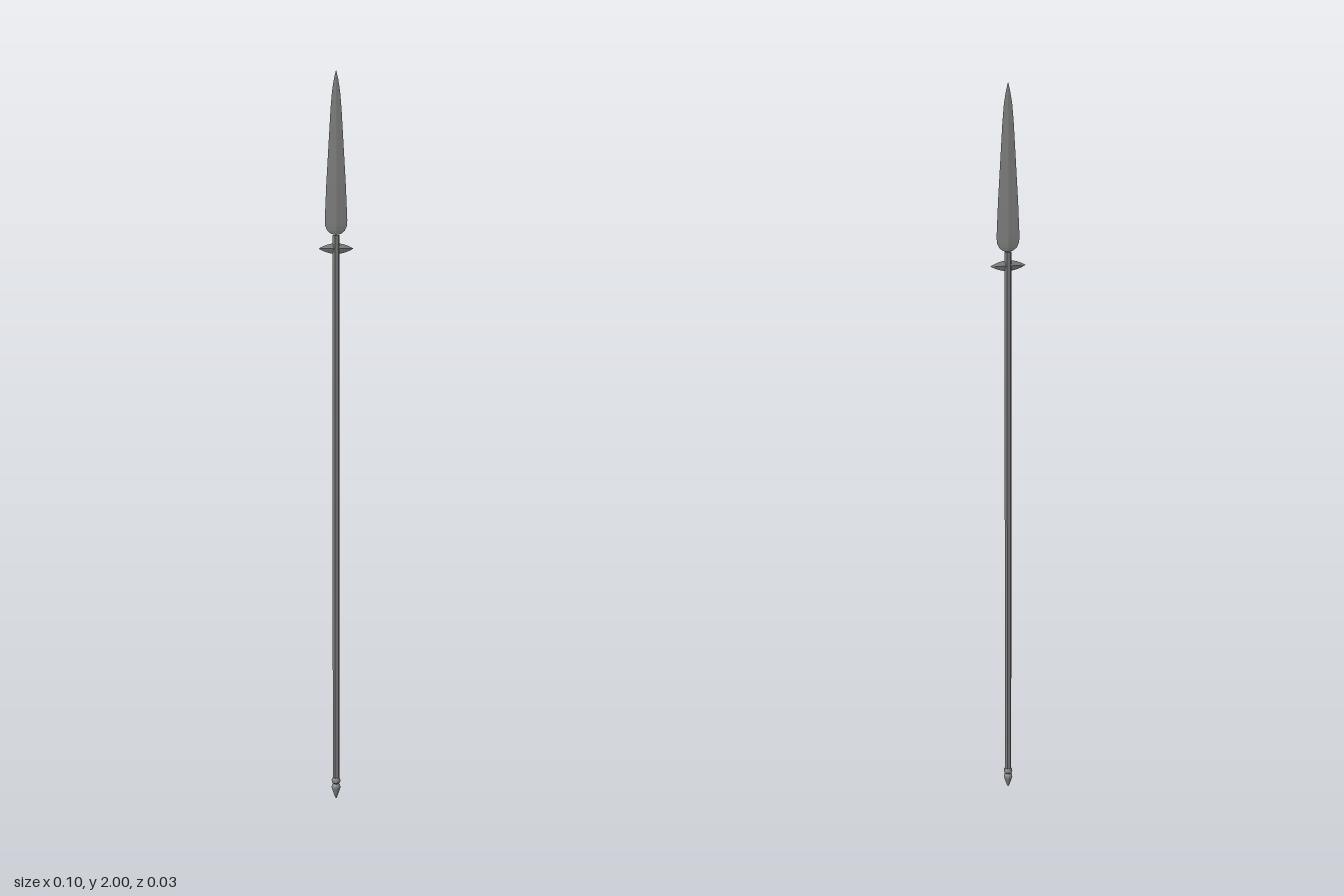
import * as THREE from 'three';

const steel = new THREE.MeshStandardMaterial({ color: 0x868686, flatShading: true });
const pole = new THREE.MeshStandardMaterial({ color: 0x7c7c7c, flatShading: true });

// Turned part from [radius, y] pairs, listed from bottom to top
function turned(name, profile, sides) {
  const points = profile.map(([r, y]) => new THREE.Vector2(r, y));
  const mesh = new THREE.Mesh(new THREE.LatheGeometry(points, sides), steel);
  mesh.name = name;
  return mesh;
}

export function createModel() {
  const spear = new THREE.Group();
  spear.name = 'spear';

  // Long six-sided pole with a flat face to the front, running up into the blade
  const shaft = new THREE.Mesh(new THREE.CylinderGeometry(0.0095, 0.0095, 1.52, 6), pole);
  shaft.name = 'shaft';
  shaft.rotation.y = Math.PI / 6;
  shaft.position.y = 0.05 + 1.52 / 2;
  spear.add(shaft);

  // Pointed foot with a bulb and a collar
  spear.add(turned('buttCap', [
    [0, 0], [0.004, 0.008], [0.0095, 0.024], [0.0125, 0.034], [0.0115, 0.040],
    [0.008, 0.045], [0.0115, 0.049], [0.0125, 0.054], [0.0115, 0.059], [0.008, 0.063],
  ], 16));

  // Leaf blade: four-sided diamond section, flattened front to back
  const blade = turned('blade', [
    [0, 1.570], [0.014, 1.573], [0.024, 1.581], [0.030, 1.594], [0.031, 1.610],
    [0.027, 1.70], [0.021, 1.80], [0.015, 1.90], [0.011, 1.945], [0.006, 1.975], [0, 2],
  ], 4);
  blade.geometry.scale(1, 1, 0.14);
  spear.add(blade);

  // Cross guard: lens outline, laid along x
  const outline = [];
  for (let i = 0; i <= 16; i++) {
    const t = i / 8 - 1;
    outline.push([0.014 * (1 - t * t), 0.048 * t]);
  }
  const guard = turned('guard', outline, 4);
  guard.geometry.scale(1, 1, 0.33);
  guard.rotation.z = Math.PI / 2;
  guard.position.y = 1.534;
  spear.add(guard);

  return spear;
}
